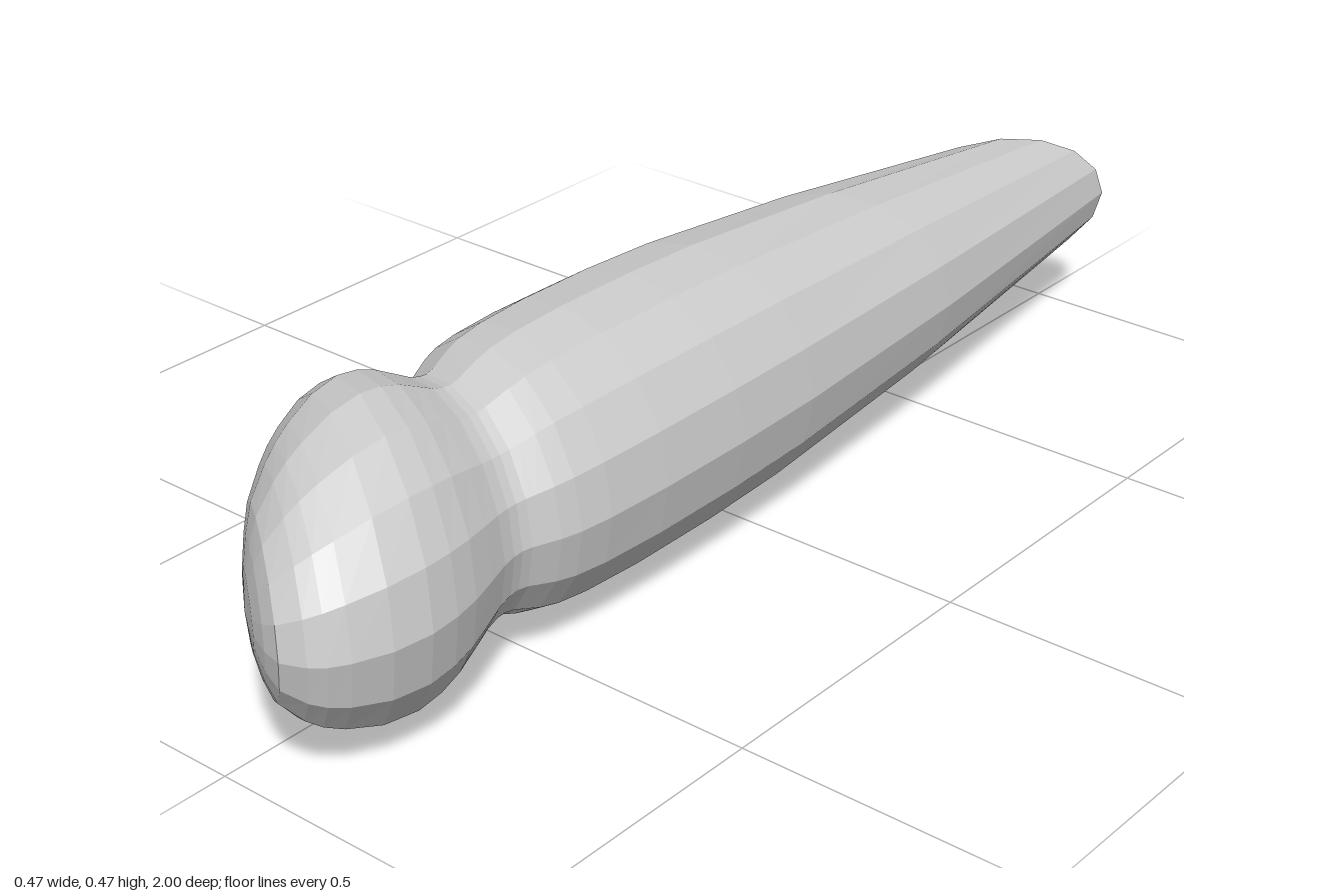
import * as THREE from 'three';

const SIDES = 16;
const CENTRE_Y = 0.235;

// Rings lean progressively along the length: forward on the left side at the
// head, backward at the tail.
const lean = (z) => Math.tan(THREE.MathUtils.degToRad(49.8 * z - 9.9));

// Sixteen-sided turned form along z, from [z, radius] pairs, with leaning rings
function turnedPart(name, profile, material) {
  const points = profile.map(([z, r]) => new THREE.Vector2(r, z));
  const geometry = new THREE.LatheGeometry(points, SIDES);
  geometry.rotateX(Math.PI / 2);
  const pos = geometry.attributes.position;
  for (let i = 0; i < pos.count; i++) {
    const z = pos.getZ(i);
    pos.setZ(i, z + lean(z) * pos.getX(i));
  }
  geometry.translate(0, CENTRE_Y, 0);
  geometry.computeVertexNormals();
  const mesh = new THREE.Mesh(geometry, material);
  mesh.name = name;
  return mesh;
}

export function createModel() {
  const group = new THREE.Group();
  group.name = 'peg';
  const material = new THREE.MeshStandardMaterial({
    color: 0xcccccc, flatShading: true, side: THREE.DoubleSide,
  });

  // Slanted conical tip closing the tail
  group.add(turnedPart('tailTip', [[-0.95, 0], [-0.845, 0.12]], material));

  // Long tapering shaft, rounding in to the neck
  group.add(turnedPart('shaft', [
    [-0.845, 0.12], [-0.35, 0.18], [0, 0.21], [0.15, 0.216], [0.3, 0.217],
    [0.4, 0.213], [0.45, 0.207], [0.48, 0.199], [0.505, 0.189], [0.52, 0.183],
    [0.535, 0.18],
  ], material));

  // Bulging head with a domed front
  group.add(turnedPart('head', [
    [0.535, 0.18], [0.55, 0.181], [0.57, 0.187], [0.6, 0.202], [0.635, 0.219],
    [0.67, 0.23], [0.71, 0.235], [0.765, 0.227], [0.82, 0.205], [0.85, 0.188],
    [0.875, 0.168], [0.91, 0.13], [0.925, 0.095], [0.936, 0.055], [0.942, 0],
  ], material));

  return group;
}
